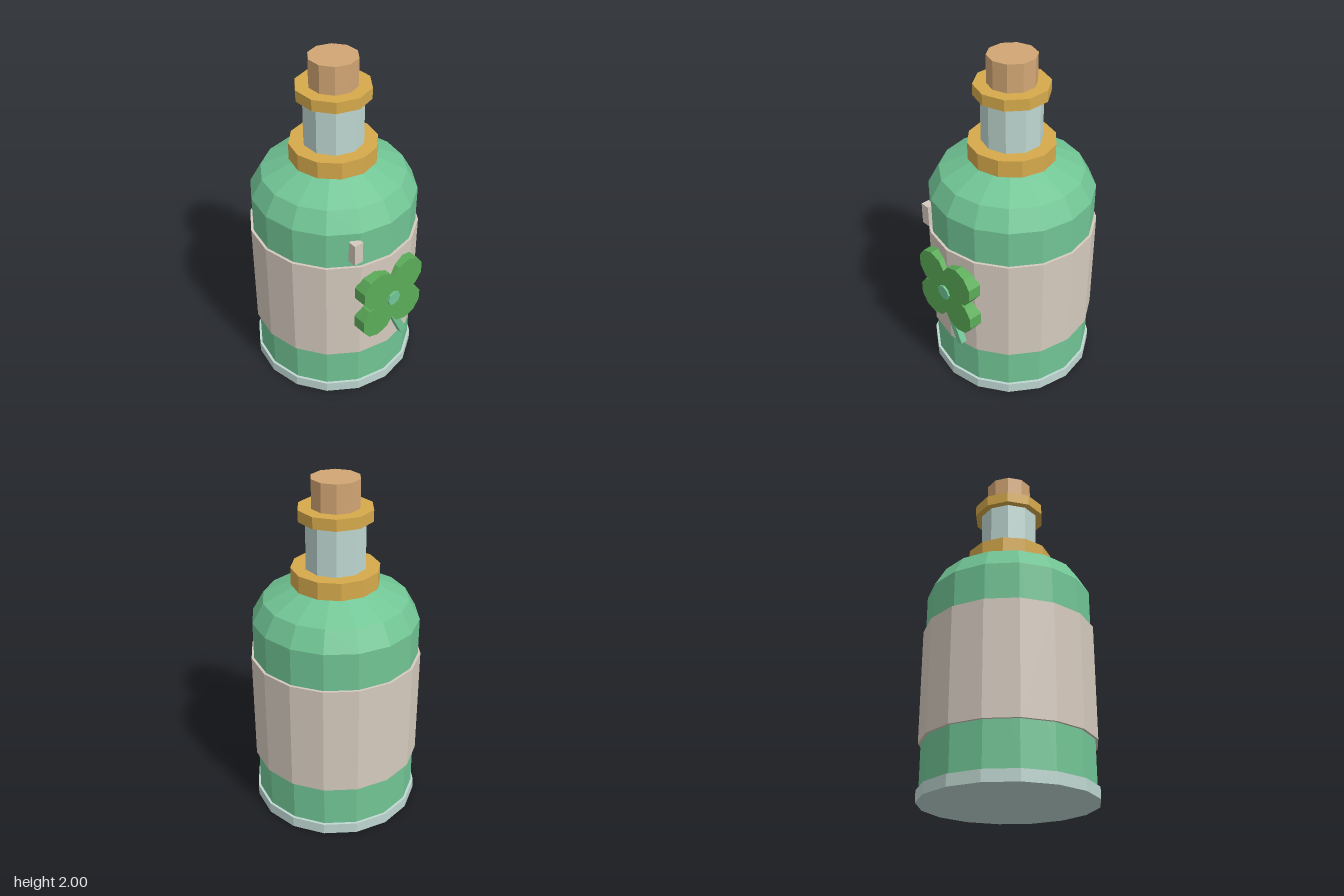
import * as THREE from 'three';

const mat = (name, color) => {
  const m = new THREE.MeshStandardMaterial({ color, flatShading: true });
  m.name = name;
  return m;
};

export function createModel() {
  const green = mat('bottle green', 0x71c595);
  const cream = mat('label cream', 0xd5cabe);
  const glass = mat('pale glass', 0xbfd7d1);
  const gold = mat('gold', 0xd6aa4c);
  const cork = mat('cork', 0xd2a674);
  const leaf = mat('leaf green', 0x5cad59);

  const model = new THREE.Group();
  const axisZ = -0.022;

  const add = (name, geometry, material, x, y, z, parent = model) => {
    const mesh = new THREE.Mesh(geometry, material);
    mesh.name = name;
    mesh.position.set(x, y, z);
    parent.add(mesh);
    return mesh;
  };
  // Faceted disc or tube section standing on the bottle's axis
  const ring = (name, r, y0, y1, sides, material) =>
    add(name, new THREE.CylinderGeometry(r, r, y1 - y0, sides), material, 0, (y0 + y1) / 2, axisZ);

  // Bottle body with sloping shoulder
  const profile = [[0, 0.03], [0.478, 0.03], [0.478, 1.2], [0.413, 1.315], [0.235, 1.4], [0, 1.4]]
    .map(([r, y]) => new THREE.Vector2(r, y));
  add('body', new THREE.LatheGeometry(profile, 16), green, 0, 0, axisZ);

  // Stacked rings from the base up to the stopper
  ring('base', 0.493, 0, 0.065, 16, glass);
  ring('label', 0.493, 0.32, 0.98, 16, cream);
  ring('collar', 0.25, 1.4, 1.5, 12, gold);
  ring('neck', 0.172, 1.5, 1.78, 10, glass);
  ring('lip', 0.211, 1.775, 1.84, 10, gold);
  ring('stopper', 0.137, 1.84, 2, 10, cork);

  // Four-leaf clover on the label
  const clover = new THREE.Group();
  clover.name = 'clover';
  clover.position.set(0, 0.692, 0.46);
  model.add(clover);
  const lobe = new THREE.CylinderGeometry(0.118, 0.118, 0.08, 10).rotateX(Math.PI / 2);
  for (const sx of [-1, 1]) {
    for (const sy of [-1, 1]) add('leaf', lobe, leaf, sx * 0.106, sy * 0.106, 0, clover);
  }
  add('leafJoin', new THREE.BoxGeometry(0.13, 0.13, 0.078), leaf, 0, 0, 0, clover);
  add('cloverCentre', new THREE.CylinderGeometry(0.045, 0.045, 0.08, 8).rotateX(Math.PI / 2),
    green, 0, 0, 0.012, clover);
  const stem = add('stem', new THREE.BoxGeometry(0.043, 0.22, 0.038), green, 0.062, -0.235, 0.018, clover);
  stem.rotation.z = 0.44;

  // Small tag on the upper front
  add('tag', new THREE.BoxGeometry(0.057, 0.13, 0.05), cream, -0.215, 1.09, 0.416);

  return model;
}
